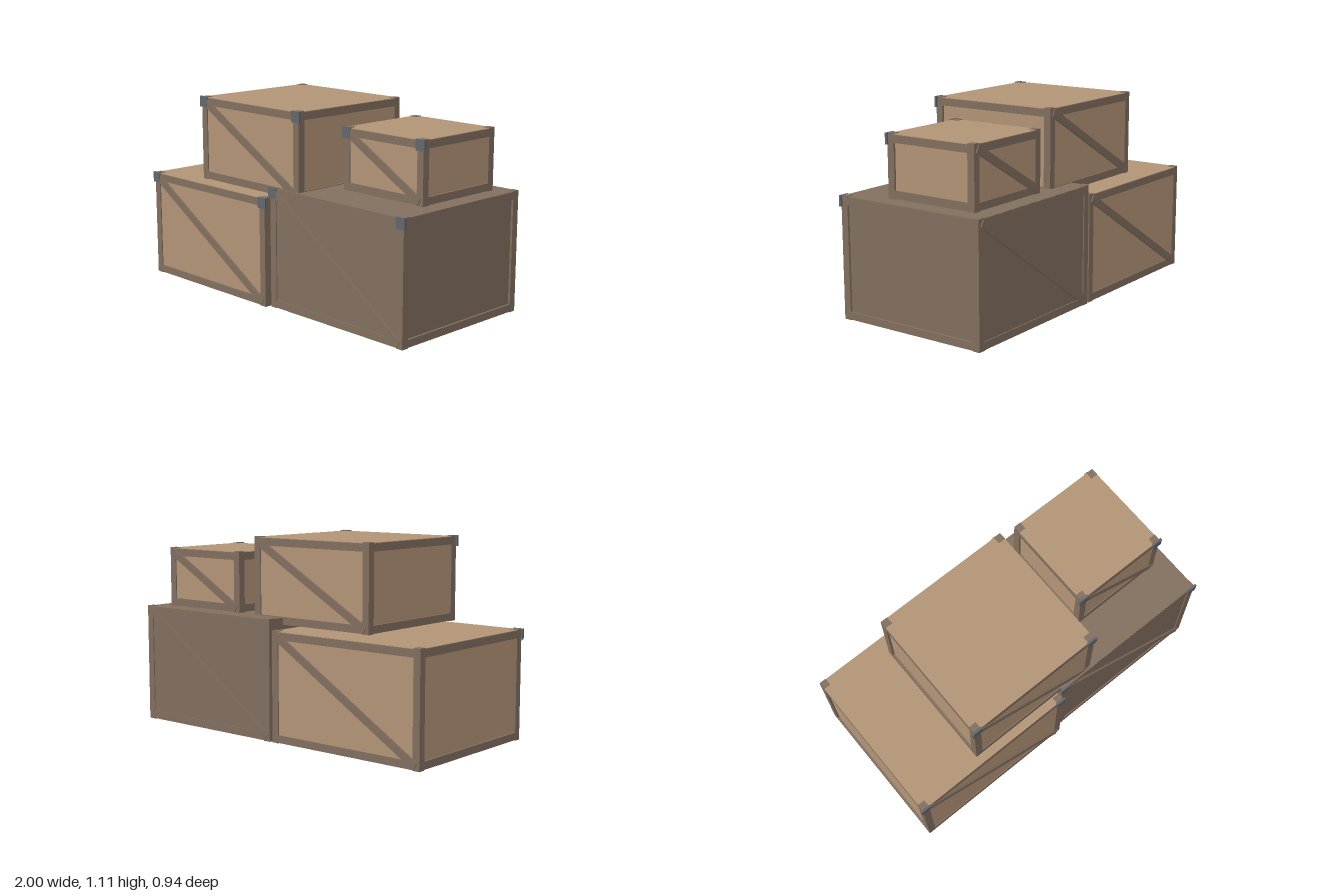
import * as THREE from 'three';

const mat = (name, color) => {
  const m = new THREE.MeshStandardMaterial({ color });
  m.name = name;
  return m;
};

export function createModel() {
  const lightWood = mat('light wood', 0xb29476);
  const darkWood = mat('dark wood', 0x826f5f);
  const metal = mat('dull metal', 0x62676c);

  const T = 0.042; // frame timber width

  function box(parent, name, size, pos, material) {
    const m = new THREE.Mesh(new THREE.BoxGeometry(...size), material);
    m.position.set(...pos);
    m.name = name;
    parent.add(m);
    return m;
  }

  // One framed crate; its origin is the centre of its base
  function crate(name, w, h, d, panel) {
    const g = new THREE.Group();
    g.name = name;

    // Lid, and a floor raised above the lower rails
    box(g, 'lid', [w - 0.002, 0.003, d - 0.002], [0, h - 0.0015, 0], panel);
    box(g, 'floor', [w - 0.05, 0.01, d - 0.05], [0, 0.04, 0], darkWood);

    for (const s of [-1, 1]) {
      // Wall panels, set back behind the frame
      const wallH = h - 0.008, wallY = h / 2 + 0.002;
      box(g, 'endPanel', [w - 0.03, wallH, 0.026], [0, wallY, s * (d / 2 - 0.019)], panel);
      box(g, 'sidePanel', [0.02, wallH, d - 0.03], [s * (w / 2 - 0.022), wallY, 0], panel);

      // Corner posts
      for (const sz of [-1, 1])
        box(g, 'cornerPost', [T, h + 0.003, T],
          [s * (w - T) / 2, h / 2 + 0.0015, sz * (d - T) / 2], darkWood);

      // Top and bottom rails
      for (const y of [T / 2 + 0.003, h - T / 2 - 0.003]) {
        box(g, 'longRail', [w - 2 * T, T, 0.02], [0, y, s * (d / 2 - 0.01)], darkWood);
        box(g, 'sideRail', [0.02, T, d - 2 * T], [s * (w / 2 - 0.01), y, 0], darkWood);
      }

      // Metal caps on the upper front corners
      box(g, 'cornerCap', [0.06, 0.06, 0.013],
        [s * (w / 2 - 0.019), h - 0.026, d / 2 + 0.0005], metal);
    }

    // Diagonal braces, front and back (the back one is the front turned round)
    const dx = w - 0.09, dy = h - 0.07;
    for (const turn of [0, Math.PI]) {
      const side = new THREE.Group();
      side.name = turn ? 'backBrace' : 'frontBrace';
      side.rotation.y = turn;
      const b = box(side, 'diagonalBrace', [Math.hypot(dx, dy) + 0.05, T, 0.02],
        [0, h / 2, d / 2 - 0.004], darkWood);
      b.rotation.z = -Math.atan2(dy, dx);
      g.add(side);
    }
    return g;
  }

  // name, width, height, depth, panel material, base position
  const crates = [
    ['lowerRightCrate', 0.984, 0.611, 0.928, lightWood, [-0.494, 0, 0.001]],
    ['lowerLeftCrate', 0.973, 0.671, 0.903, darkWood, [0.5015, 0, -0.0155]],
    ['upperRightCrate', 0.803, 0.472, 0.777, lightWood, [-0.1785, 0.63, 0.032]],
    ['upperLeftCrate', 0.56, 0.34, 0.56, lightWood, [0.612, 0.672, -0.088]],
  ];

  const model = new THREE.Group();
  model.name = 'crateStack';
  for (const [name, w, h, d, panel, pos] of crates) {
    const c = crate(name, w, h, d, panel);
    c.position.set(...pos);
    model.add(c);
  }
  return model;
}
